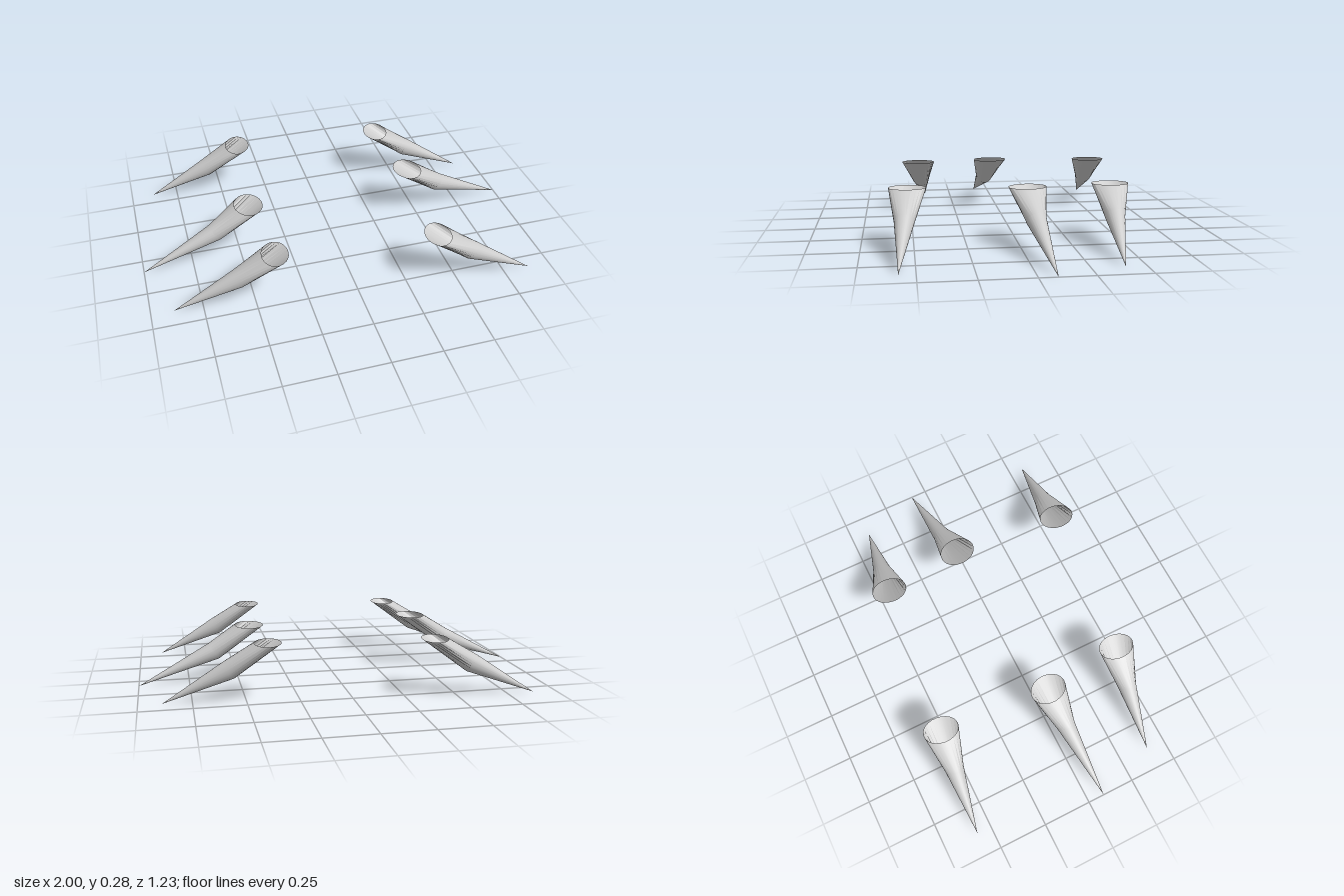
import * as THREE from 'three';
import { toCreasedNormals } from 'three/addons/utils/BufferGeometryUtils.js';

const SIDES = 24;
const TOP = 0.28;

// Hollow spike in its own frame: open level rim at the origin, bent at the middle, tip along +x.
function clawGeometry(length, rimX, rimZ, midX, midR) {
  const pos = [];
  const index = [];
  for (let i = 0; i < SIDES; i++) {
    const a = (i / SIDES) * Math.PI * 2;
    const c = Math.cos(a), s = Math.sin(a);
    // level oval rim, then a round section tilted square to the axis
    pos.push(rimX * c, TOP, rimZ * s);
    pos.push(midX + 0.53 * midR * c, 0.155 + 0.85 * midR * c, midR * s);
  }
  const tip = SIDES * 2;
  pos.push(length, 0, 0);
  for (let i = 0; i < SIDES; i++) {
    const a = i * 2, b = ((i + 1) % SIDES) * 2;
    index.push(a, b, a + 1, b, b + 1, a + 1);
    index.push(a + 1, b + 1, tip);
  }
  const g = new THREE.BufferGeometry();
  g.setAttribute('position', new THREE.Float32BufferAttribute(pos, 3));
  g.setIndex(index);
  return toCreasedNormals(g, 0.3);
}

export function createModel() {
  const model = new THREE.Group();
  model.name = 'claws';
  const material = new THREE.MeshStandardMaterial({ color: 0xcccccc, side: THREE.DoubleSide });

  // rim centre and tip of each claw on one side
  const claws = [
    { name: 'FrontClaw', x: 0.39, z: 0.525, tipX: 0.885, tipZ: 0.575, rimX: 0.064, rimZ: 0.09 },
    { name: 'MiddleClaw', x: 0.44, z: -0.041, tipX: 1.0, tipZ: -0.085, rimX: 0.071, rimZ: 0.092 },
    { name: 'BackClaw', x: 0.396, z: -0.453, tipX: 0.89, tipZ: -0.403, rimX: 0.064, rimZ: 0.09 },
  ];

  // the second side is the first turned half round
  for (const side of ['left', 'right']) {
    const row = new THREE.Group();
    row.name = side + 'Claws';
    for (const c of claws) {
      const dx = c.tipX - c.x, dz = c.tipZ - c.z;
      const geo = clawGeometry(Math.hypot(dx, dz), c.rimX, c.rimZ, 0.183, 0.047);
      const claw = new THREE.Mesh(geo, material);
      claw.name = side + c.name;
      claw.position.set(c.x, 0, c.z);
      claw.rotation.y = -Math.atan2(dz, dx);
      row.add(claw);
    }
    if (side === 'right') {
      row.rotation.y = Math.PI;
      // after the turn the first claw sits at the back
      row.children[0].name = 'rightBackClaw';
      row.children[2].name = 'rightFrontClaw';
    }
    model.add(row);
  }
  return model;
}
